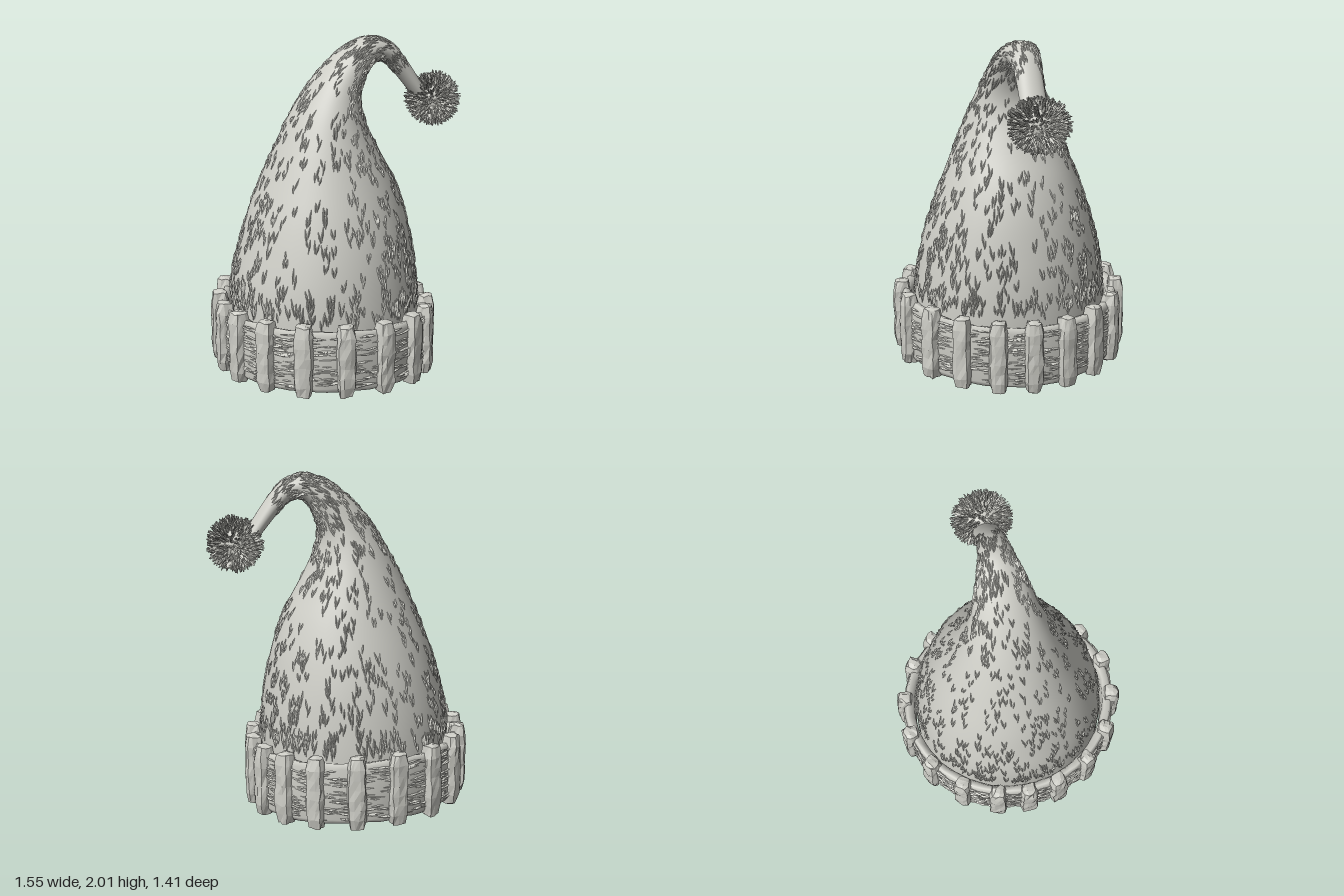
import * as THREE from 'three';
import { mergeGeometries } from 'three/addons/utils/BufferGeometryUtils.js';

const TAU = Math.PI * 2;
let seed = 7;
const rand = () => {
  seed = (seed * 16807) % 2147483647;
  return seed / 2147483647;
};
const spread = (s) => (rand() - 0.5) * 2 * s;

// Repeatable jitter, so that coincident box corners move together
const hash = (x, y, z, k) => {
  const s = Math.sin(Math.round(x * 1000) * 12.99 + Math.round(y * 1000) * 7.23 + Math.round(z * 1000) * 3.77 + k * 41.3) * 4375.85;
  return (s - Math.floor(s)) * 2 - 1;
};

// Smooth surface through fn(u, v); v always wraps round, u only on request
function loft(nu, nv, fn, wrapU = false) {
  const pos = [], index = [];
  const rows = wrapU ? nu : nu + 1;
  for (let i = 0; i < rows; i++)
    for (let j = 0; j < nv; j++) pos.push(...fn(i / nu, j / nv).toArray());
  for (let i = 0; i < nu; i++) {
    for (let j = 0; j < nv; j++) {
      const a = i * nv + j, b = i * nv + (j + 1) % nv;
      const c = ((i + 1) % rows) * nv + j, d = ((i + 1) % rows) * nv + (j + 1) % nv;
      index.push(a, b, c, b, d, c);
    }
  }
  const g = new THREE.BufferGeometry();
  g.setAttribute('position', new THREE.Float32BufferAttribute(pos, 3));
  g.setIndex(index);
  g.computeVertexNormals();
  return g;
}

// Each station: outer side x, y, inner side x, y, half depth in z
const STATIONS = [
  [-0.66, 0.13, 0.46, 0.1, 0.59], [-0.66, 0.4, 0.47, 0.38, 0.585],
  [-0.645, 0.6, 0.46, 0.6, 0.56], [-0.595, 0.8, 0.43, 0.8, 0.52],
  [-0.535, 1.0, 0.385, 1.0, 0.46], [-0.455, 1.2, 0.32, 1.18, 0.39],
  [-0.365, 1.4, 0.225, 1.36, 0.315], [-0.26, 1.6, 0.15, 1.52, 0.245],
  [-0.13, 1.785, 0.125, 1.63, 0.19], [0, 1.91, 0.14, 1.73, 0.155],
  [0.11, 1.975, 0.18, 1.81, 0.125], [0.21, 1.997, 0.23, 1.848, 0.1],
  [0.32, 1.96, 0.285, 1.84, 0.085], [0.41, 1.87, 0.345, 1.785, 0.077],
  [0.54, 1.68, 0.475, 1.63, 0.075],
];
const outer = new THREE.CatmullRomCurve3(STATIONS.map((s) => new THREE.Vector3(s[0], s[1], s[4])));
const inner = new THREE.CatmullRomCurve3(STATIONS.map((s) => new THREE.Vector3(s[2], s[3], 0)));

function bodyPoint(u, v) {
  const o = outer.getPoint(u), i = inner.getPoint(u);
  const c = Math.cos(v * TAU);
  return new THREE.Vector3(
    (o.x + i.x) / 2 + (c * (o.x - i.x)) / 2,
    (o.y + i.y) / 2 + (c * (o.y - i.y)) / 2,
    Math.sin(v * TAU) * o.z);
}

// Cuff: a slightly oval ring whose lower edge dips toward +x
const CUFF_X = -0.1;
const cuffBase = (a) => 0.07 - 0.025 * Math.cos(a) - 0.035 * Math.cos(a) ** 2;
const cuffPoint = (a, r, y) =>
  new THREE.Vector3(CUFF_X + Math.cos(a) * r, cuffBase(a) + y, Math.sin(a) * (r + 0.036));

// Profile of the band as radius and height, going up the outside
const BAND = [[0.575, 0.025], [0.605, 0.015], [0.622, 0.04], [0.627, 0.2], [0.622, 0.35],
  [0.607, 0.38], [0.575, 0.37], [0.562, 0.34], [0.56, 0.2], [0.562, 0.06]];

// Rib angles in degrees on the +z half; those between 0 and 180 are mirrored
const RIB_ANGLES = [0, 18, 37, 56, 78, 100, 122, 143, 163, 180];

// A flat pointed stitch lying along dir on a surface with the given normal
function stitch(at, dir, normal, length, width, height) {
  const d = dir.clone().normalize();
  const n = normal.clone().addScaledVector(d, -normal.dot(d)).normalize();
  const side = new THREE.Vector3().crossVectors(d, n);
  const m = new THREE.Matrix4().makeBasis(side, d, n);
  m.scale(new THREE.Vector3(width / 2, length / 2, height)).setPosition(at);
  return new THREE.OctahedronGeometry(1).applyMatrix4(m);
}

// V-shaped pairs of stitches, crowded toward the cuff and sparse near the tip
function bodyStitches() {
  const list = [];
  for (let k = 0; k < 1000; k++) {
    const u = 0.1 + 0.84 * rand() ** 1.9, v = rand();
    const p = bodyPoint(u, v);
    const up = bodyPoint(u + 0.004, v).sub(p).normalize();
    const around = bodyPoint(u, v + 0.004).sub(p).normalize();
    const normal = new THREE.Vector3().crossVectors(around, up);
    const size = 1 - 0.4 * u;
    for (const s of [-1, 1]) {
      const dir = up.clone().addScaledVector(around, s * (0.16 + spread(0.14)));
      const at = p.clone().addScaledVector(around, s * 0.009 * size).addScaledVector(up, spread(0.025));
      list.push(stitch(at, dir, normal, (0.05 + 0.06 * rand()) * size, 0.013 * size, 0.009 * size));
    }
  }
  return mergeGeometries(list);
}

function cuffStitches() {
  const list = [];
  for (let k = 0; k < 900; k++) {
    const a = rand() * TAU;
    const p = cuffPoint(a, 0.625, 0.04 + 0.32 * rand());
    const dir = new THREE.Vector3(-Math.sin(a), spread(0.08), Math.cos(a));
    list.push(stitch(p, dir, new THREE.Vector3(Math.cos(a), 0, Math.sin(a)), 0.06 + 0.07 * rand(), 0.011, 0.01));
  }
  return mergeGeometries(list);
}

// Knobbly upright rib: a box with rounded section, pinched ends and uneven faces
function ribGeometry(k) {
  const w = 0.112, h = 0.445, t = 0.112;
  const g = new THREE.BoxGeometry(w, h, t, 3, 7, 3);
  const p = g.attributes.position;
  for (let i = 0; i < p.count; i++) {
    const x = p.getX(i), y = p.getY(i), z = p.getZ(i);
    const ax = Math.abs((2 * x) / w), az = Math.abs((2 * z) / t);
    const pinch = (1 - 0.2 * ax * az) * (1 - 0.25 * Math.abs((2 * y) / h) ** 8);
    const edge = 1 - 0.06 * Math.max(ax, az);
    p.setXYZ(i,
      x * pinch + 0.006 * hash(x, y, z, k),
      y * edge + 0.005 * hash(x, y, z, k + 31),
      z * pinch + 0.005 * hash(x, y, z, k + 67));
  }
  const flat = g.toNonIndexed();
  flat.computeVertexNormals();
  return flat;
}

// Fluffy ball of short pointed strands spread evenly over a sphere
function strands(count) {
  const list = [], up = new THREE.Vector3(0, 1, 0);
  for (let k = 0; k < count; k++) {
    const y = 1 - (2 * (k + 0.5)) / count, a = k * 2.39996, r = Math.sqrt(1 - y * y);
    const dir = new THREE.Vector3(r * Math.cos(a) + spread(0.1), y + spread(0.1), r * Math.sin(a) + spread(0.1)).normalize();
    const length = 0.055 + 0.022 * rand();
    const g = new THREE.CylinderGeometry(0.003, 0.012, length, 4, 1, true).toNonIndexed();
    g.computeVertexNormals();
    g.translate(0, 0.095 + length / 2, 0);
    g.applyQuaternion(new THREE.Quaternion().setFromUnitVectors(up, dir));
    list.push(g);
  }
  return mergeGeometries(list);
}

export function createModel() {
  seed = 7;
  const wool = new THREE.MeshStandardMaterial({ color: 0xcdcdc6, side: THREE.DoubleSide });
  wool.name = 'paleGreyWool';
  const hat = new THREE.Group();
  hat.name = 'knittedHat';
  const add = (parent, name, geometry) => {
    const mesh = new THREE.Mesh(geometry, wool);
    mesh.name = name;
    parent.add(mesh);
    return mesh;
  };

  // Drooping cone, closed underneath by a shallow lining
  add(hat, 'hatBody', loft(70, 56, bodyPoint));
  add(hat, 'bodyStitches', bodyStitches());
  const liningTop = new THREE.Vector3(CUFF_X, 0.14, 0);
  add(hat, 'lining', loft(3, 28, (u, v) => bodyPoint(0, 1 - v).lerp(liningTop, u)));

  // Turned-up cuff with upright ribs
  const cuff = new THREE.Group();
  cuff.name = 'cuff';
  hat.add(cuff);
  add(cuff, 'cuffBand', loft(72, BAND.length, (u, v) => {
    const [r, y] = BAND[Math.round(v * BAND.length)];
    return cuffPoint(u * TAU, r + spread(0.003), y + spread(0.004));
  }, true));
  add(cuff, 'cuffStitches', cuffStitches());
  const angles = [...RIB_ANGLES, ...RIB_ANGLES.slice(1, -1).map((d) => -d)];
  angles.forEach((degrees, k) => {
    const a = THREE.MathUtils.degToRad(degrees);
    const rib = add(cuff, 'cuffRib', ribGeometry(k));
    rib.position.copy(cuffPoint(a, 0.619, 0.206));
    rib.rotation.y = Math.PI / 2 - a;
  });

  // Pompom on the tip
  const pompom = new THREE.Group();
  pompom.name = 'pompom';
  pompom.position.set(0.608, 1.6, 0);
  pompom.scale.z = 1.08;
  hat.add(pompom);
  add(pompom, 'pompomCore', new THREE.SphereGeometry(0.122, 20, 14));
  add(pompom, 'pompomStrands', strands(800));
  return hat;
}
